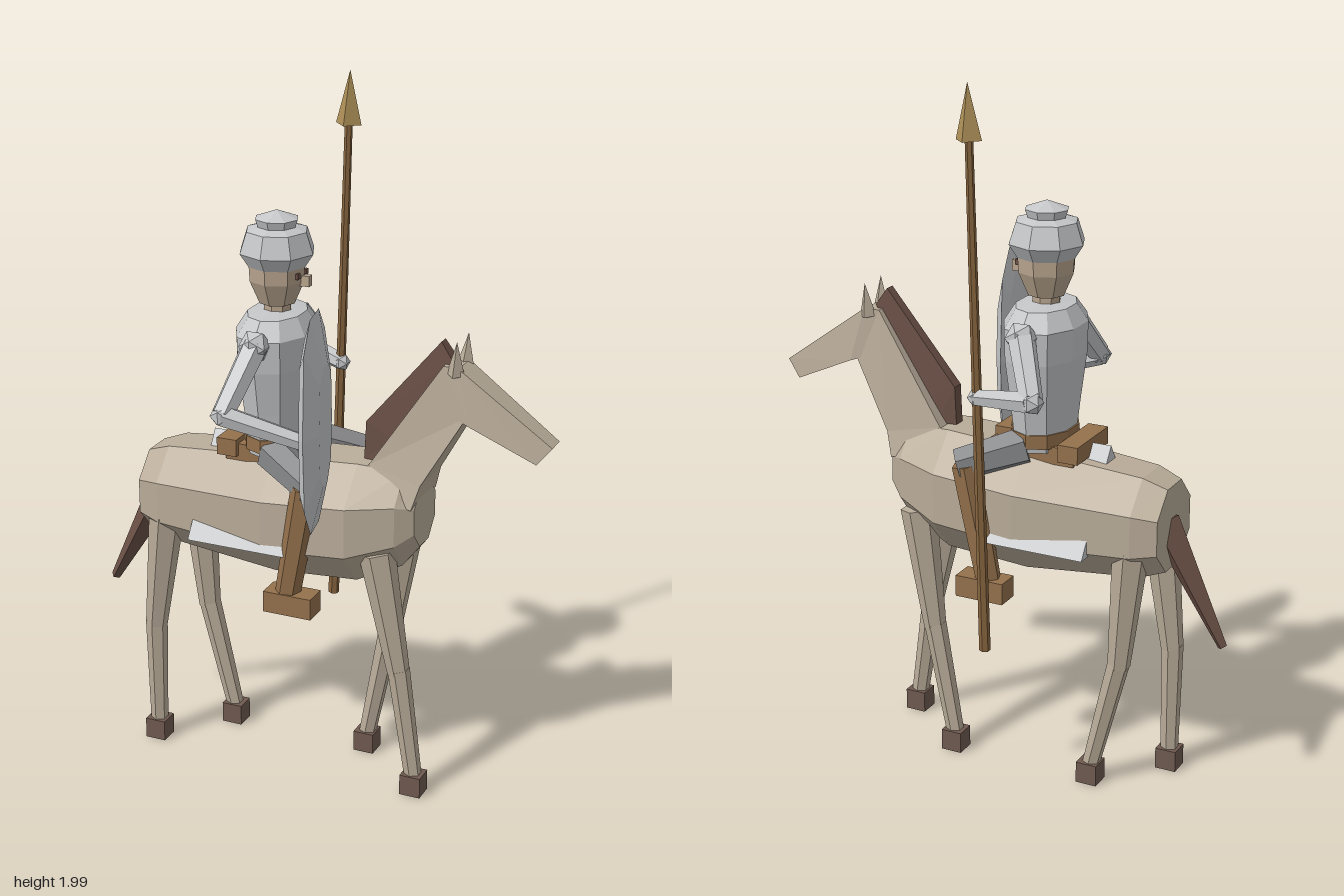
import * as THREE from 'three';

const V = (x, y, z) => new THREE.Vector3(x, y, z);
const mat = (name, color) => new THREE.MeshStandardMaterial({ name, color, flatShading: true });

// Closed solid from rings of equal point count, turned outward by its signed volume
function loft(rings) {
  const tris = [];
  const n = rings[0].length;
  for (let r = 0; r < rings.length - 1; r++) {
    for (let i = 0; i < n; i++) {
      const j = (i + 1) % n;
      const a = rings[r][i], b = rings[r][j], c = rings[r + 1][j], d = rings[r + 1][i];
      tris.push([a, b, c], [a, c, d]);
    }
  }
  const last = rings[rings.length - 1];
  for (let i = 1; i < n - 1; i++) {
    tris.push([rings[0][0], rings[0][i + 1], rings[0][i]], [last[0], last[i], last[i + 1]]);
  }
  const mid = rings[0][0];
  let volume = 0;
  for (const [a, b, c] of tris) {
    volume += a.clone().sub(mid).dot(b.clone().sub(mid).cross(c.clone().sub(mid)));
  }
  const points = tris.flatMap(([a, b, c]) => (volume < 0 ? [a, c, b] : [a, b, c]));
  const geo = new THREE.BufferGeometry().setFromPoints(points);
  geo.computeVertexNormals();
  return geo;
}

export function createModel() {
  const model = new THREE.Group();
  model.name = 'mountedKnight';
  // Local frame: +x is the riding direction, +z the rider's right
  const rig = new THREE.Group();
  rig.name = 'horseAndRider';
  rig.rotation.y = THREE.MathUtils.degToRad(-35);
  model.add(rig);

  const coat = mat('horseCoat', 0xb9ac99);
  const hair = mat('darkHair', 0x6a5045);
  const hoofMat = mat('hoof', 0x6f5a50);
  const steel = mat('steel', 0xc4c6c8);
  const darkSteel = mat('darkSteel', 0x87888a);
  const leather = mat('leather', 0x94714c);
  const wood = mat('wood', 0x87653f);
  const brass = mat('brass', 0xae9058);
  const skin = mat('skin', 0xb8a58e);

  const add = (name, geo, material, pos = V(0, 0, 0)) => {
    const mesh = new THREE.Mesh(geo, material);
    mesh.name = name;
    mesh.position.copy(pos);
    rig.add(mesh);
    return mesh;
  };
  const box = (name, material, w, h, d, x, y, z) =>
    add(name, new THREE.BoxGeometry(w, h, d), material, V(x, y, z));
  // Tapered rod from a to b
  const rod = (name, material, a, b, ra, rb, sides = 6) => {
    const dir = b.clone().sub(a);
    const mesh = add(name, new THREE.CylinderGeometry(rb, ra, dir.length(), sides), material,
      a.clone().add(b).multiplyScalar(0.5));
    mesh.quaternion.setFromUnitVectors(V(0, 1, 0), dir.normalize());
    return mesh;
  };

  // Horse body: octagonal sections [x, halfWidth, bottom, top]
  const octagon = ([x, w, lo, hi]) => Array.from({ length: 8 }, (_, i) => {
    const t = (i + 0.5) * Math.PI / 4, k = 1 / Math.cos(Math.PI / 8);
    return V(x, (lo + hi) / 2 + (hi - lo) / 2 * k * Math.sin(t), w * k * Math.cos(t));
  });
  add('horseBody', loft([
    [-0.53, 0.115, 0.67, 0.91], [-0.46, 0.14, 0.645, 0.935], [-0.12, 0.172, 0.615, 0.965],
    [0.13, 0.16, 0.63, 0.98], [0.26, 0.115, 0.69, 0.97], [0.305, 0.08, 0.75, 0.93],
  ].map(octagon)), coat);

  // Neck and head: four-cornered sections [backX, backY, frontX, frontY, halfWidth]
  const quad = ([bx, by, fx, fy, w]) =>
    [V(bx, by, -w * 0.75), V(bx, by, w * 0.75), V(fx, fy, w), V(fx, fy, -w)];
  add('horseNeck', loft([
    [0.12, 0.92, 0.30, 0.88, 0.095], [0.16, 0.98, 0.32, 0.95, 0.08], [0.365, 1.29, 0.44, 1.16, 0.05],
  ].map(quad)), coat);
  add('horseHead', loft([
    [0.365, 1.29, 0.405, 1.15, 0.05], [0.41, 1.29, 0.45, 1.135, 0.058], [0.675, 1.1, 0.635, 1.05, 0.04],
  ].map(quad)), coat);
  add('mane', loft([
    [0.13, 0.98, 0.19, 0.98, 0.024], [0.135, 1.09, 0.22, 1.05, 0.024], [0.35, 1.35, 0.385, 1.3, 0.02],
  ].map(quad)), hair);
  rod('tail', hair, V(-0.5, 0.8, 0), V(-0.685, 0.46, 0), 0.05, 0.014, 4);

  // Horse legs: [side, hipX, kneeX, hoofX]
  for (const [s, hip, knee, foot] of [
    [1, 0.2, 0.27, 0.32], [-1, 0.215, 0.165, 0.1], [1, -0.455, -0.5, -0.5], [-1, -0.445, -0.415, -0.333],
  ]) {
    const z = 0.09 * s;
    rod('upperLeg', coat, V(hip, 0.74, z), V(knee, 0.38, z), 0.052, 0.032);
    rod('lowerLeg', coat, V(knee, 0.39, z), V(foot, 0.05, z), 0.032, 0.025);
    box('hoof', hoofMat, 0.062, 0.062, 0.06, foot, 0.037, z);
  }

  // Saddle cloth: a ridge-topped prism that breaks through the flanks
  add('saddleCloth', loft([-0.34, 0].map(x => [V(x, 0.99, 0), V(x, 0.715, 0.185), V(x, 0.715, -0.185)])), steel);
  box('saddleSeat', leather, 0.25, 0.05, 0.17, -0.14, 0.965, 0);
  box('saddleBack', leather, 0.06, 0.05, 0.2, -0.255, 0.98, 0);
  box('saddleFront', leather, 0.05, 0.06, 0.12, -0.04, 0.985, 0);

  // Rider torso and neck
  const lathe = (name, material, profile, sides, pos) =>
    add(name, new THREE.LatheGeometry(profile.map(p => new THREE.Vector2(...p)), sides), material, pos);
  const torso = lathe('breastplate', steel,
    [[0, 0.97], [0.72, 0.97], [0.84, 1.1], [0.98, 1.23], [1, 1.32], [0.72, 1.37], [0, 1.38]], 10, V(-0.14, 0, 0));
  torso.scale.set(0.11, 1, 0.155);
  const belt = add('belt', new THREE.CylinderGeometry(1, 1, 0.04, 10), leather, V(-0.14, 1.005, 0));
  belt.scale.set(0.09, 1, 0.122);
  rod('neck', skin, V(-0.14, 1.36, 0), V(-0.14, 1.42, 0), 0.04, 0.04, 8);

  // Head and helmet
  lathe('head', skin, [[0, 1.395], [0.052, 1.395], [0.08, 1.46], [0.085, 1.54], [0, 1.58]], 8, V(-0.14, 0, 0));
  box('nose', skin, 0.03, 0.03, 0.02, -0.055, 1.465, 0);
  for (const s of [-1, 1]) box('eye', hair, 0.008, 0.016, 0.016, -0.066, 1.482, 0.026 * s);
  lathe('helmet', steel,
    [[0, 1.5], [0.082, 1.5], [0.108, 1.54], [0.088, 1.6], [0.055, 1.61], [0.062, 1.632], [0, 1.655]], 8, V(-0.14, 0, 0));

  // Rider legs
  for (const s of [-1, 1]) {
    rod('thigh', darkSteel, V(-0.12, 0.98, 0.08 * s), V(0.045, 0.925, 0.17 * s), 0.055, 0.046);
    rod('shin', leather, V(0.02, 0.93, 0.165 * s), V(-0.045, 0.58, 0.155 * s), 0.043, 0.036);
    box('boot', leather, 0.145, 0.062, 0.072, -0.03, 0.572, 0.155 * s);
  }

  // Arms: shoulder, elbow, hand
  for (const [shoulder, elbow, hand] of [
    [V(-0.14, 1.31, 0.145), V(-0.175, 1.15, 0.28), V(0.045, 1.08, 0.215)],
    [V(-0.14, 1.31, -0.15), V(-0.245, 1.19, -0.3), V(-0.05, 1.155, -0.237)],
  ]) {
    add('shoulderGuard', new THREE.IcosahedronGeometry(0.046), steel, shoulder);
    rod('upperArm', steel, shoulder, elbow, 0.038, 0.032);
    add('elbowGuard', new THREE.IcosahedronGeometry(0.034), steel, elbow);
    rod('forearm', steel, elbow, hand, 0.032, 0.024);
    add('gauntlet', new THREE.IcosahedronGeometry(0.026), steel, hand);
  }

  // Lance
  rod('lanceShaft', wood, V(-0.075, 0.42, -0.24), V(-0.032, 1.86, -0.239), 0.016, 0.011);
  rod('lanceTip', brass, V(-0.032, 1.85, -0.239), V(-0.028, 2, -0.239), 0.038, 0, 4);

  // Shield: domed long outline, slightly turned
  const half = [[0.05, 0.31], [0.12, 0.235], [0.138, 0.0], [0.12, -0.21], [0.05, -0.3]];
  const outline = [...half, ...half.map(([z, y]) => [-z, y]).reverse()];
  const shield = add('shield', loft([[-0.018, 0.8], [0, 1], [0.03, 0.55]].map(([x, k]) =>
    outline.map(([z, y]) => V(x, y * k, z * k)))), steel, V(0.075, 1.145, 0.23));
  shield.rotation.y = THREE.MathUtils.degToRad(11);

  // Ears
  for (const s of [-1, 1]) {
    rod('ear', coat, V(0.4, 1.27, 0.036 * s), V(0.405, 1.365, 0.045 * s), 0.026, 0, 4);
  }
  return model;
}
